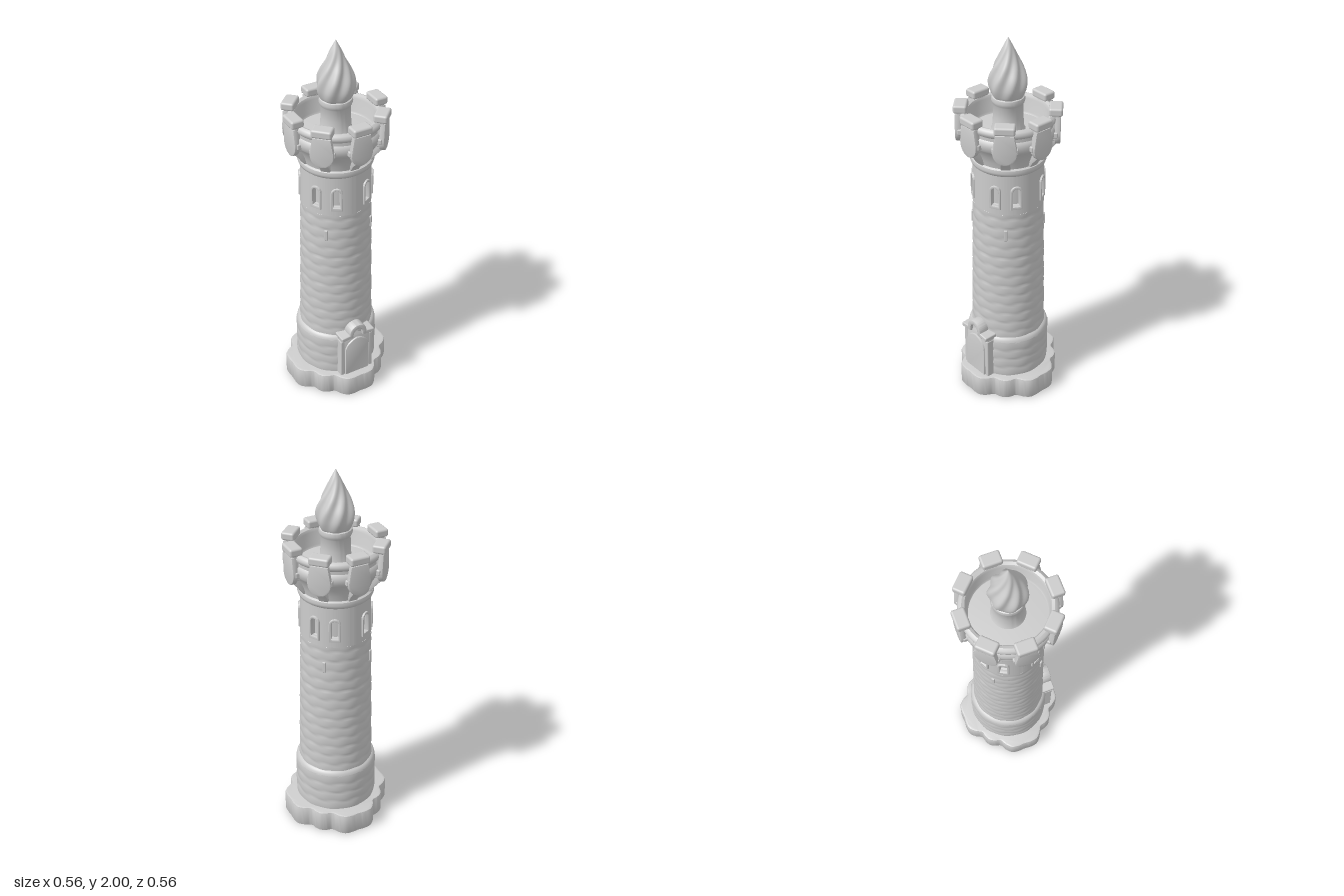
import * as THREE from 'three';
import { mergeVertices, toCreasedNormals } from 'three/addons/utils/BufferGeometryUtils.js';
import { RoundedBoxGeometry } from 'three/addons/geometries/RoundedBoxGeometry.js';

const V2 = (x, y) => new THREE.Vector2(x, y);
const RAD = Math.PI / 180;
const material = new THREE.MeshStandardMaterial({ color: 0xcccccc });

function add(parent, name, geometry, x = 0, y = 0, z = 0) {
  const mesh = new THREE.Mesh(geometry, material);
  mesh.name = name;
  mesh.position.set(x, y, z);
  parent.add(mesh);
  return mesh;
}

// Group turned so that its local +z points outwards at the given angle
function spoke(parent, name, degrees) {
  const g = new THREE.Group();
  g.name = name;
  g.rotation.y = degrees * RAD;
  parent.add(g);
  return g;
}

const lathe = (pts, segs = 96) =>
  toCreasedNormals(new THREE.LatheGeometry(pts.map(p => V2(...p)), segs), 0.7);

// Moves each point of a lathe to radius rule(radius, angle, y)
function sculpt(pts, segs, rule, crease) {
  const g = new THREE.LatheGeometry(pts, segs);
  const p = g.attributes.position;
  for (let i = 0; i < p.count; i++) {
    const a = Math.atan2(p.getX(i), p.getZ(i)), y = p.getY(i);
    const r = rule(Math.hypot(p.getX(i), p.getZ(i)), a, y);
    p.setXYZ(i, r * Math.sin(a), y, r * Math.cos(a));
  }
  g.deleteAttribute('uv');
  g.deleteAttribute('normal');
  const merged = mergeVertices(g, 1e-5);
  merged.computeVertexNormals();
  return crease ? toCreasedNormals(merged, crease) : merged;
}

function column(y0, y1, rows, radius) {
  return Array.from({ length: rows + 1 }, (_, i) => {
    const y = y0 + (y1 - y0) * i / rows;
    return V2(radius(y), y);
  });
}

function extrude(shape, depth, bevel = 0.004) {
  const g = new THREE.ExtrudeGeometry(shape, {
    depth: depth - bevel, curveSegments: 16, bevelEnabled: bevel > 0,
    bevelSize: bevel, bevelThickness: bevel, bevelOffset: -bevel, bevelSegments: 2,
  });
  return toCreasedNormals(g, 0.6);
}

// Upright opening with a round head
function arch(w, y0, y1, Type = THREE.Shape) {
  const s = new Type();
  s.moveTo(-w, y0).lineTo(w, y0).lineTo(w, y1 - w);
  s.absarc(0, y1 - w, w, 0, Math.PI, false);
  s.lineTo(-w, y0);
  return s;
}

// Upright opening with a pointed head
function pointedArch(w, y0, spring, top, Type = THREE.Shape) {
  const s = new Type();
  s.moveTo(-w, y0).lineTo(w, y0).lineTo(w, spring);
  s.quadraticCurveTo(w * 0.85, top - 0.015, 0, top);
  s.quadraticCurveTo(-w * 0.85, top - 0.015, -w, spring);
  s.lineTo(-w, y0);
  return s;
}

const wallRadius = y => 0.196 - 0.018 * (y - 0.36) / 0.96;
// Rounded stone courses with slightly uneven faces
const course = (r, a, y) =>
  r + 0.0035 * (Math.sqrt(Math.abs(Math.sin(Math.PI * y / 0.058))) - 1)
    + 0.0012 * Math.sin(a * 11 + Math.floor(y / 0.058) * 2.3);

export function createModel() {
  const tower = new THREE.Group();
  tower.name = 'tower';

  // Lobed plinth
  const half = [[0, 0.278], [8, 0.283], [16, 0.284], [24, 0.266], [31, 0.246], [38, 0.256], [45, 0.262]];
  const quarter = [...half, ...half.slice(1, -1).reverse().map(([a, r]) => [90 - a, r])];
  const outline = [0, 90, 180, 270].flatMap(q => quarter.map(([a, r]) =>
    new THREE.Vector3(r * Math.cos((a + q) * RAD), r * Math.sin((a + q) * RAD), 0)));
  const lobes = new THREE.CatmullRomCurve3(outline, true).getPoints(192).slice(0, -1);
  const plinth = extrude(new THREE.Shape(lobes.map(p => V2(p.x, p.y))), 0.112, 0.01);
  add(tower, 'plinth', plinth.rotateX(-Math.PI / 2), 0, 0.01, 0);

  // Stone shaft
  add(tower, 'lowerWall', sculpt(column(0.1, 0.345, 28, () => 0.216), 96, course));
  add(tower, 'lowerLedge', lathe([[0.214, 0.34], [0.211, 0.352], [0.203, 0.364], [0.19, 0.37]]));
  add(tower, 'shaft', sculpt(column(0.35, 1.13, 90, wallRadius), 96, course));

  // Window storey with sunken openings, eight in all
  const windowRule = (r, a, y) => {
    const quarterTurn = Math.PI / 2;
    const d = a - Math.round(a / quarterTurn) * quarterTurn;
    const x = (Math.abs(d) - 28 * RAD) * 0.18;
    const head = Math.max(0, y - 1.26);
    const inside = y > 1.175 && Math.hypot(x, head) < 0.019;
    return inside ? r - 0.022 : r;
  };
  add(tower, 'windowStorey', sculpt(column(1.13, 1.36, 46, wallRadius), 240, windowRule, 0.6));
  for (let q = 0; q < 360; q += 90) {
    for (const side of [-28, 28]) {
      const w = spoke(tower, 'window', q + side);
      const frame = arch(0.03, 1.162, 1.292);
      frame.holes.push(arch(0.018, 1.178, 1.279, THREE.Path));
      add(w, 'windowFrame', extrude(frame, 0.018), 0, 0, 0.17);
    }
    // Narrow loophole on each diagonal
    const s = spoke(tower, 'loophole', q + 45);
    add(s, 'loopholeFrame', new RoundedBoxGeometry(0.018, 0.062, 0.02, 2, 0.004), 0, 1.01, 0.18);
  }

  // Collar, flared crown, parapet and inner floor
  add(tower, 'collar', lathe([[0.175, 1.345], [0.187, 1.355], [0.192, 1.37], [0.189, 1.385], [0.178, 1.392]]));
  add(tower, 'crown', lathe([
    [0.178, 1.385], [0.186, 1.42], [0.2, 1.455], [0.221, 1.49], [0.233, 1.505], [0.236, 1.53],
    [0.232, 1.55], [0.224, 1.558], [0.224, 1.575], [0.235, 1.585], [0.238, 1.6], [0.231, 1.613],
    [0.217, 1.62], [0.203, 1.614], [0.196, 1.6], [0.196, 1.525], [0.19, 1.515], [0, 1.53],
  ]));

  // Battlements: block, cap, shield and bracket on each of eight sides
  const shield = new THREE.Shape();
  shield.moveTo(-0.045, 1.61).lineTo(-0.058, 1.535);
  shield.bezierCurveTo(-0.066, 1.485, -0.035, 1.452, 0, 1.452);
  shield.bezierCurveTo(0.035, 1.452, 0.066, 1.485, 0.058, 1.535);
  shield.lineTo(0.045, 1.61).lineTo(-0.045, 1.61);
  const shieldGeometry = extrude(shield, 0.022, 0.005);

  // Bracket side profile, drawn with x as distance from the axis
  const bracket = new THREE.Shape([
    V2(0.17, 1.39), V2(0.188, 1.39), V2(0.205, 1.418), V2(0.238, 1.455), V2(0.242, 1.5), V2(0.17, 1.5)]);
  const bracketGeometry = extrude(bracket, 0.045).translate(0, 0, -0.0205).rotateY(-Math.PI / 2);

  for (let i = 0; i < 8; i++) {
    const m = spoke(tower, 'battlement', i * 45);
    add(m, 'merlonBlock', new RoundedBoxGeometry(0.088, 0.14, 0.048, 2, 0.006), 0, 1.55, 0.226);
    add(m, 'merlonCap', new RoundedBoxGeometry(0.102, 0.042, 0.068, 3, 0.011), 0, 1.635, 0.232);
    add(m, 'shield', shieldGeometry, 0, 0, 0.235);
    add(m, 'bracket', bracketGeometry);
    add(m, 'shieldBand', new RoundedBoxGeometry(0.128, 0.03, 0.03, 2, 0.006), 0, 1.52, 0.23);
  }

  // Pedestal and twisted flame
  add(tower, 'pedestal', lathe([
    [0.09, 1.515], [0.079, 1.535], [0.074, 1.6], [0.073, 1.66], [0.079, 1.67],
    [0.084, 1.685], [0.08, 1.7], [0.07, 1.706], [0, 1.706]], 64));
  const flameProfile = new THREE.SplineCurve([
    V2(0.066, 1.69), V2(0.081, 1.715), V2(0.091, 1.755), V2(0.088, 1.8), V2(0.071, 1.85),
    V2(0.048, 1.9), V2(0.024, 1.955), V2(0.0005, 2)]).getPoints(48);
  add(tower, 'flame', sculpt(flameProfile, 84, (r, a, y) => {
    const t = (y - 1.69) / 0.31;
    const depth = 0.09 * Math.sin(Math.PI * Math.min(1, t * 1.05 + 0.03));
    return r * (1 + depth * Math.cos(7 * a - 8 * t * t - 3 * t));
  }));

  // Doorway on the front
  const door = new THREE.Group();
  door.name = 'doorway';
  tower.add(door);
  const surround = new THREE.Shape([
    V2(-0.094, 0.115), V2(0.094, 0.115), V2(0.094, 0.37), V2(0.05, 0.375),
    V2(0, 0.4), V2(-0.05, 0.375), V2(-0.094, 0.37)]);
  surround.holes.push(pointedArch(0.062, 0.122, 0.29, 0.345, THREE.Path));
  add(door, 'doorSurround', extrude(surround, 0.06), 0, 0, 0.168);
  const moulding = pointedArch(0.072, 0.12, 0.292, 0.358);
  moulding.holes.push(pointedArch(0.058, 0.125, 0.288, 0.338, THREE.Path));
  add(door, 'doorMoulding', extrude(moulding, 0.03), 0, 0, 0.207);
  for (const s of [-1, 1]) {
    add(door, 'doorLeaf', new RoundedBoxGeometry(0.04, 0.185, 0.03, 2, 0.004), s * 0.0215, 0.21, 0.206);
    add(door, 'doorPost', new RoundedBoxGeometry(0.022, 0.24, 0.05, 2, 0.005), s * 0.086, 0.235, 0.205);
    const slab = add(door, 'lintel', new RoundedBoxGeometry(0.06, 0.024, 0.075, 2, 0.006), s * 0.069, 0.38, 0.207);
    slab.rotation.z = -s * 0.12;
  }
  add(door, 'doorPanel', extrude(pointedArch(0.064, 0.12, 0.29, 0.348), 0.03), 0, 0, 0.186);

  // Round gable over the door
  const gable = new THREE.Shape();
  gable.moveTo(-0.052, 0.37).lineTo(-0.03, 0.37);
  gable.absarc(0, 0.395, 0.026, Math.PI, 0, true);
  gable.lineTo(0.03, 0.37).lineTo(0.052, 0.37);
  gable.absarc(0, 0.398, 0.051, 0, Math.PI, false);
  add(door, 'gableArch', extrude(gable, 0.07, 0.006), 0, 0, 0.175);
  add(door, 'gableFill', extrude(arch(0.034, 0.355, 0.43), 0.055), 0, 0, 0.172);

  return tower;
}
